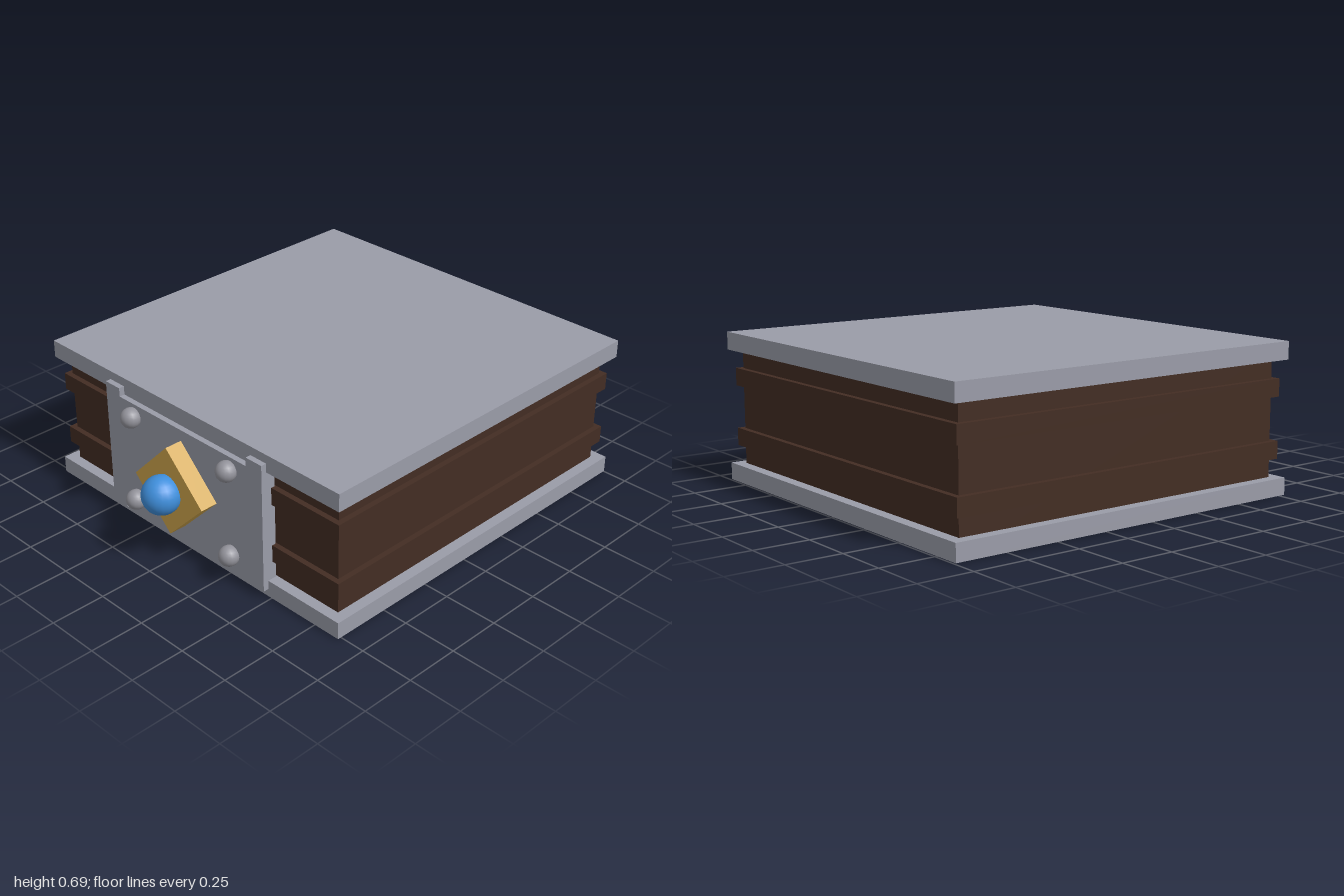
import * as THREE from 'three';

export function createModel() {
  const group = new THREE.Group();
  const material = (name, color) => {
    const m = new THREE.MeshStandardMaterial({ color });
    m.name = name;
    return m;
  };
  const steel = material('steel grey', 0x9a9ca8);
  const rivetSteel = material('rivet grey', 0x94949c);
  const wood = material('dark wood', 0x432d23);
  const gold = material('gold', 0xcfa54c);
  const blue = material('gem blue', 0x3f8fdc);

  const add = (name, geometry, mat, x, y, z) => {
    const mesh = new THREE.Mesh(geometry, mat);
    mesh.name = name;
    mesh.position.set(x, y, z);
    group.add(mesh);
    return mesh;
  };

  const cx = 0.114; // centre of the chest along x
  const midY = 0.343;

  // Wooden body, reaching just below the base plate, with two raised bands
  add('body', new THREE.BoxGeometry(1.668, 0.64, 1.668), wood, cx, 0.32, 0);
  for (const side of [-1, 1]) {
    add('band', new THREE.BoxGeometry(1.718, 0.08, 1.718), wood, cx, midY + side * 0.138, 0);
  }

  // Metal lid and base
  add('lid', new THREE.BoxGeometry(1.768, 0.081, 1.768), steel, cx, 0.6445, 0);
  add('base', new THREE.BoxGeometry(1.768, 0.078, 1.768), steel, cx, 0.043, 0);

  // Lock plate: tabs at its four corners overlap the lid and base
  const outline = [
    [-0.485, -0.302], [-0.395, -0.302], [-0.395, -0.262], [0.395, -0.262],
    [0.395, -0.302], [0.485, -0.302], [0.485, 0.302], [0.395, 0.302],
    [0.395, 0.262], [-0.395, 0.262], [-0.395, 0.302], [-0.485, 0.302],
  ].map(([u, v]) => new THREE.Vector2(u, v));
  const plate = new THREE.ExtrudeGeometry(new THREE.Shape(outline), { depth: 0.07, bevelEnabled: false });
  plate.rotateY(-Math.PI / 2);
  add('lockPlate', plate, steel, -0.726, midY, 0);

  // Diamond mount and round gem
  const diamond = new THREE.BoxGeometry(0.1, 0.298, 0.298);
  diamond.rotateX(Math.PI / 4);
  add('gemMount', diamond, gold, -0.828, midY, 0);
  add('gem', new THREE.SphereGeometry(0.087, 20, 14), blue, -0.913, midY, 0);

  // Four rivets
  for (const sy of [-1, 1]) {
    for (const sz of [-1, 1]) {
      add('rivet', new THREE.SphereGeometry(0.046, 16, 12), rivetSteel, -0.817, midY + sy * 0.205, sz * 0.3);
    }
  }
  return group;
}
